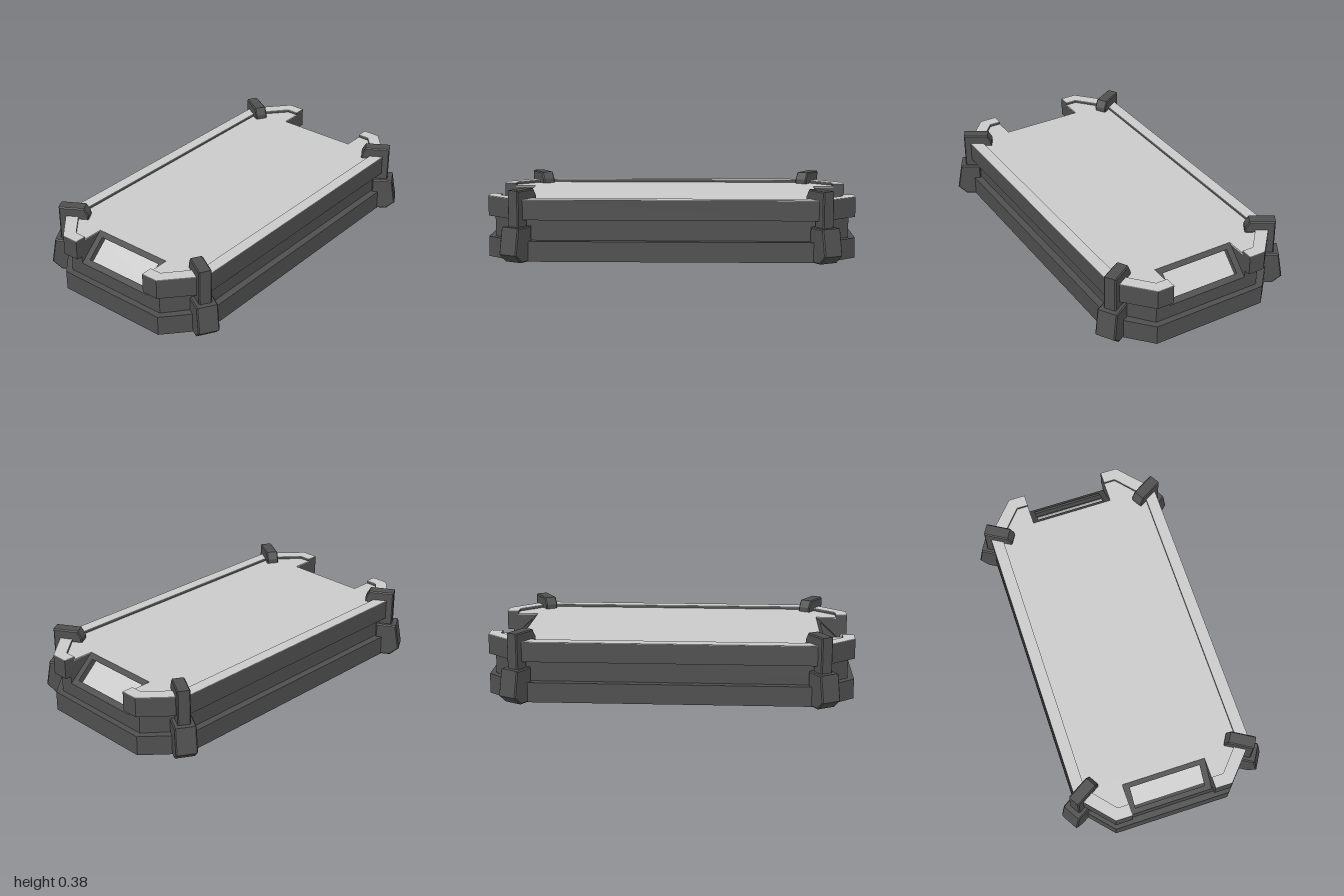
import * as THREE from 'three';

const dark = new THREE.MeshStandardMaterial({ color: 0x505050, flatShading: true });
const light = new THREE.MeshStandardMaterial({ color: 0xcccccc, flatShading: true });

// Upright prism from a plan outline of [x, z] points, with an optional hole
function prism(plan, y0, y1, hole) {
  const shape = new THREE.Shape(plan.map(([x, z]) => new THREE.Vector2(x, -z)));
  if (hole) shape.holes.push(new THREE.Path(hole.map(([x, z]) => new THREE.Vector2(x, -z))));
  return new THREE.ExtrudeGeometry(shape, { depth: y1 - y0, bevelEnabled: false })
    .rotateX(-Math.PI / 2).translate(0, y0, 0);
}

function add(parent, name, geometry, material) {
  const mesh = new THREE.Mesh(geometry, material);
  mesh.name = name;
  parent.add(mesh);
  return mesh;
}

const rect = (x0, x1, w) => [[x0, -w], [x1, -w], [x1, w], [x0, w]];

// Octagon plan; a notch depth cuts a bay into both short ends
const BAY = 0.235;
function octagon(hx, hz, cx, cz, notch) {
  const half = [[hx, cz], [cx, hz], [-cx, hz], [-hx, cz]];
  if (notch) {
    half.unshift([notch, BAY], [hx, BAY]);
    half.push([-hx, BAY], [-notch, BAY]);
  }
  return half.concat(half.map(([x, z]) => [-x, -z]));
}

// Clip profile: [outward, up] outline extruded across its width
function clipPart(profile, width) {
  const shape = new THREE.Shape(profile.map(p => new THREE.Vector2(...p)));
  const b = 0.006;
  return new THREE.ExtrudeGeometry(shape, {
    depth: width - 2 * b, bevelEnabled: true, bevelSize: b, bevelOffset: -b, bevelThickness: b, bevelSegments: 1,
  }).translate(0, 0, b - width / 2);
}

export function createModel() {
  const model = new THREE.Group();
  model.name = 'lowPlatform';

  // Base, ledge and waist
  add(model, 'base', prism(octagon(1, 0.5, 0.81, 0.33), 0, 0.11), dark);
  add(model, 'waistLower', prism(octagon(0.965, 0.46, 0.79, 0.315), 0.11, 0.14), dark);
  add(model, 'waistUpper', prism(octagon(0.965, 0.46, 0.79, 0.315, 0.78), 0.14, 0.315), dark);

  // Top deck
  add(model, 'deck', prism(octagon(0.938, 0.437, 0.785, 0.303, 0.82), 0.312, 0.32), light);

  // Raised rim in two mirrored halves, each with a pale top
  const rimPlan = [
    [1, BAY], [1, 0.33], [0.81, 0.5], [-0.81, 0.5], [-1, 0.33], [-1, BAY],
    [-0.935, BAY], [-0.935, 0.3], [-0.78, 0.435], [0.78, 0.435], [0.935, 0.3], [0.935, BAY],
  ];
  for (const side of [1, -1]) {
    const rim = new THREE.Group();
    rim.name = side > 0 ? 'frontRim' : 'backRim';
    rim.rotation.y = side > 0 ? 0 : Math.PI;
    add(rim, 'rimWall', prism(rimPlan, 0.225, 0.332), dark);
    add(rim, 'rimTop', prism(rimPlan, 0.332, 0.335), light);
    model.add(rim);
  }

  // Sloping end bays with a framed, recessed panel
  const slope = Math.atan2(0.135, 0.145), halfSlope = 0.099;
  for (const side of [1, -1]) {
    const bay = new THREE.Group();
    bay.name = side > 0 ? 'leftBay' : 'rightBay';
    bay.rotation.y = side > 0 ? 0 : Math.PI;
    add(bay, 'baySill', prism(rect(0.94, 0.965, BAY), 0.13, 0.185), dark);
    const tilt = new THREE.Group();
    tilt.name = 'bayPanel';
    tilt.position.set(0.8925, 0.2525, 0);
    tilt.rotation.z = -slope;
    add(tilt, 'bayFrame', prism(rect(-halfSlope, halfSlope, BAY), -0.05, 0, rect(-0.068, 0.066, 0.2)), dark);
    add(tilt, 'bayFloor', prism(rect(-0.075, 0.075, 0.21), -0.052, -0.04), light);
    bay.add(tilt);
    model.add(bay);
  }

  // Corner clips: chunky foot below, hooked arm over the rim
  const foot = clipPart([[-0.07, 0], [0.02, 0], [0.07, 0.045], [0.045, 0.19], [-0.07, 0.19]], 0.115);
  const arm = clipPart([
    [-0.145, 0.315], [-0.145, 0.345], [-0.122, 0.385], [0.018, 0.385],
    [0.018, 0.15], [-0.06, 0.15], [-0.06, 0.315],
  ], 0.07);
  for (const sx of [1, -1]) {
    for (const sz of [1, -1]) {
      const clip = new THREE.Group();
      clip.name = (sz > 0 ? 'front' : 'back') + (sx > 0 ? 'Left' : 'Right') + 'Clip';
      clip.position.set(0.83 * sx, 0, 0.5 * sz);
      clip.rotation.y = Math.atan2(-0.86 * sz, 0.51 * sx);
      add(clip, 'clipFoot', foot, dark);
      add(clip, 'clipArm', arm, dark);
      model.add(clip);
    }
  }
  return model;
}
